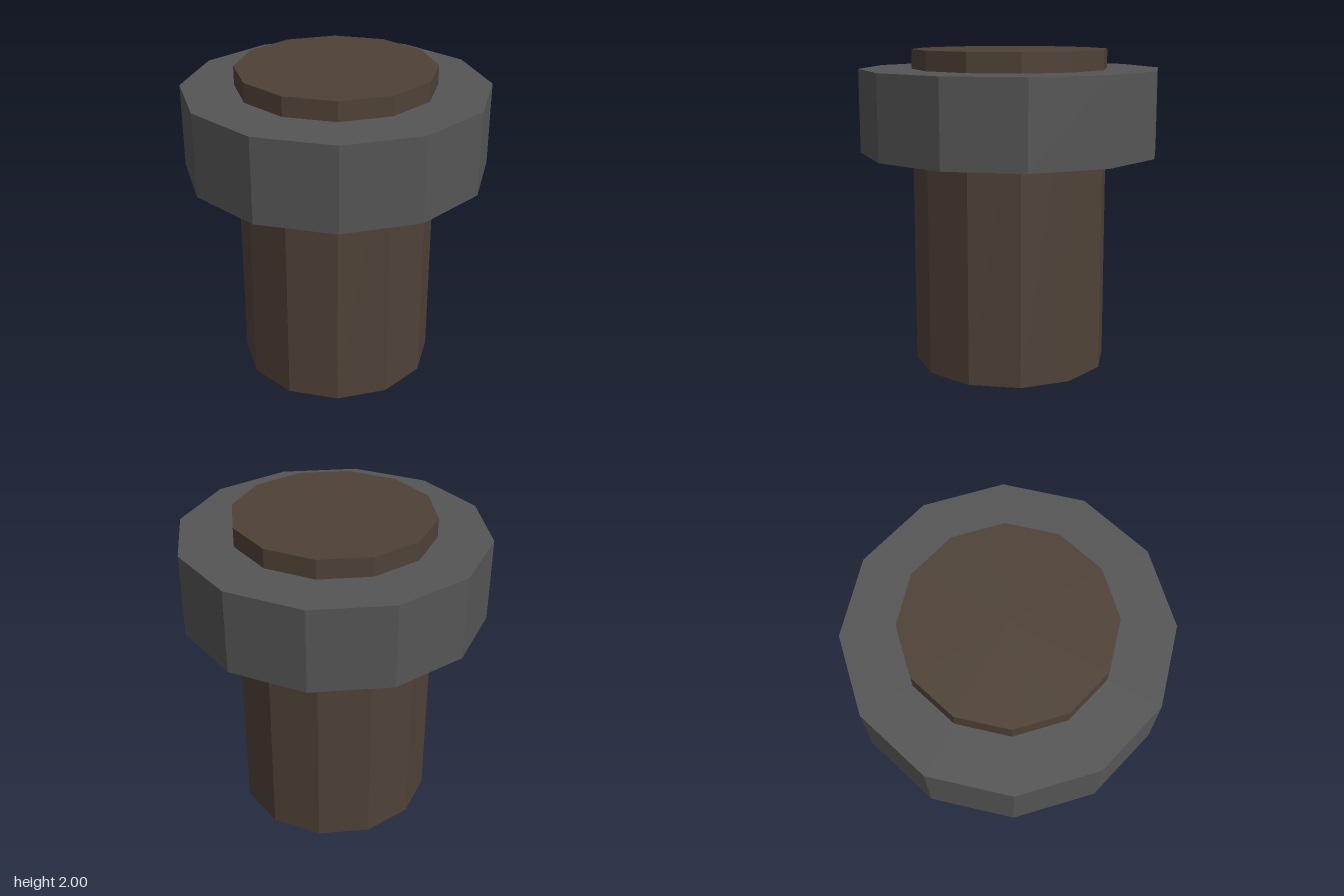
import * as THREE from 'three';

const SIDES = 12;

export function createModel() {
  const model = new THREE.Group();
  model.name = 'collaredPost';

  const wood = new THREE.MeshStandardMaterial({ color: 0x4f4237, flatShading: true });
  wood.name = 'dark brown wood';
  const iron = new THREE.MeshStandardMaterial({ color: 0x555555, flatShading: true });
  iron.name = 'dark grey iron';

  // Upright twelve-sided prism between two heights
  function prism(name, radius, bottom, top, material) {
    const geometry = new THREE.CylinderGeometry(radius, radius, top - bottom, SIDES);
    const mesh = new THREE.Mesh(geometry, material);
    mesh.name = name;
    mesh.position.y = (bottom + top) / 2;
    model.add(mesh);
  }

  // Post running the full height, with the wide collar near its top
  prism('post', 0.616, 0, 2, wood);
  prism('collar', 0.945, 1.36, 1.88, iron);

  return model;
}
